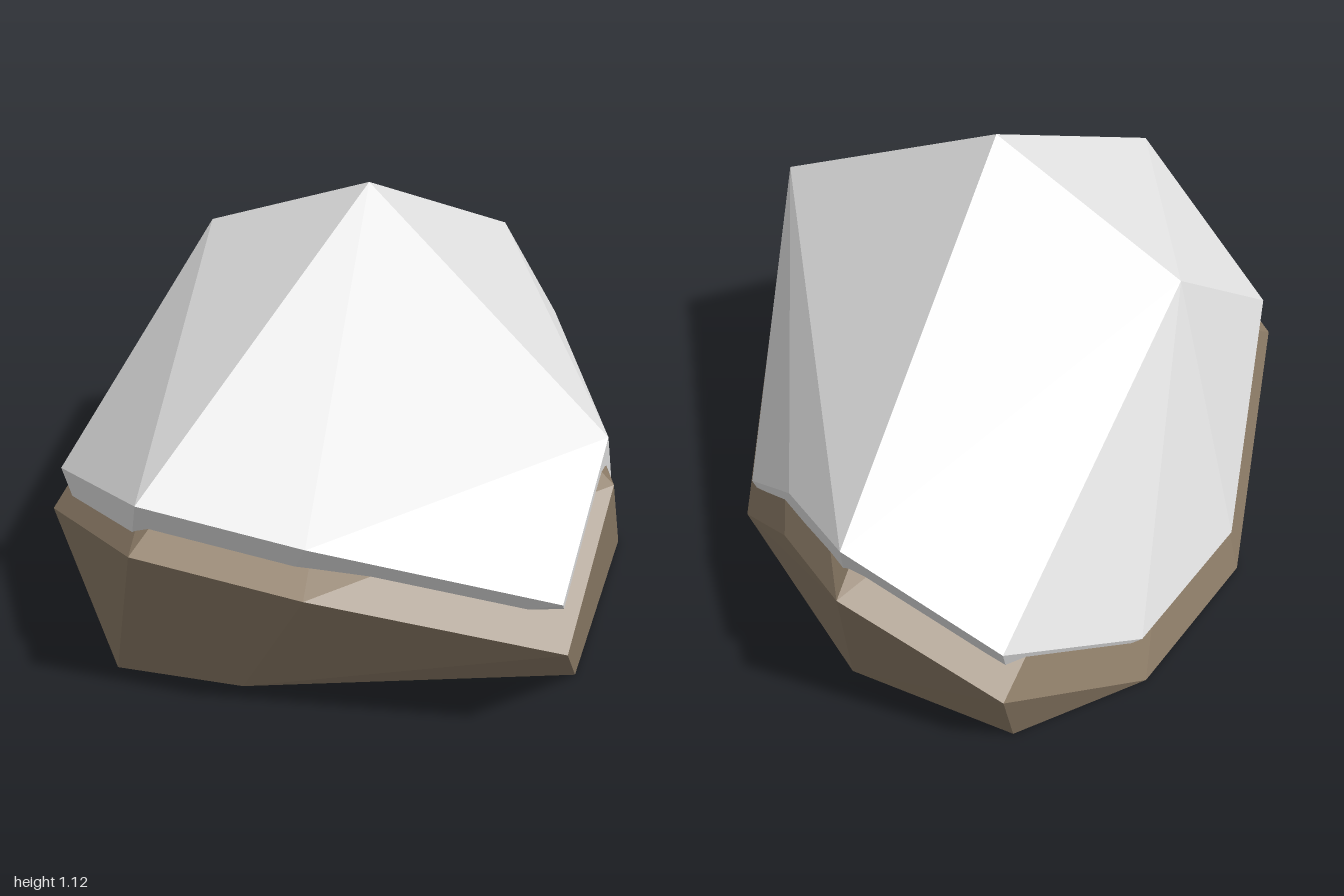
import * as THREE from 'three';
import { ConvexGeometry } from 'three/addons/geometries/ConvexGeometry.js';

// Corners of the faceted boulder
const crown = [[-0.02, 1.0, 0.05], [-0.55, 0.755, -0.1]];
const rim = [
  [0.02, 0.47, -1], [0.28, 0.35, -0.7], [0.6, 0, -0.27], [0.725, 0.62, 0.4],
  [0.72, 0.355, 0.71], [0.18, 0.51, 0.935], [-0.21, 0.57, 1], [-0.675, 0.325, 0.58],
  [-0.735, 0, -0.08], [-0.6, 0, -0.56], [-0.35, 0.215, -0.945],
];
const foot = [
  [0.1, 0, -0.75], [-0.34, 0, -0.83], [-0.43, 0, 0.735], [-0.08, 0.045, 0.735], [0.65, 0, 0.34],
];

// Faceted hull of the corners, narrowed and lifted
function boulder(name, material, scale, lift) {
  const points = [...crown, ...rim, ...foot].map(
    ([x, y, z]) => new THREE.Vector3(x * scale, y + lift, z * scale));
  const mesh = new THREE.Mesh(new ConvexGeometry(points), material);
  mesh.name = name;
  return mesh;
}

export function createModel() {
  const stone = new THREE.MeshStandardMaterial({ color: 0x8f7e69 });
  stone.name = 'brown stone';
  const snow = new THREE.MeshStandardMaterial({ color: 0xe8e8e8 });
  snow.name = 'snow white';

  const group = new THREE.Group();
  group.name = 'snowCappedRock';
  group.add(boulder('rock', stone, 1, 0));
  // The cap is a slightly narrower copy of the rock, raised out of its top
  group.add(boulder('snowCap', snow, 0.967, 0.115));
  return group;
}
